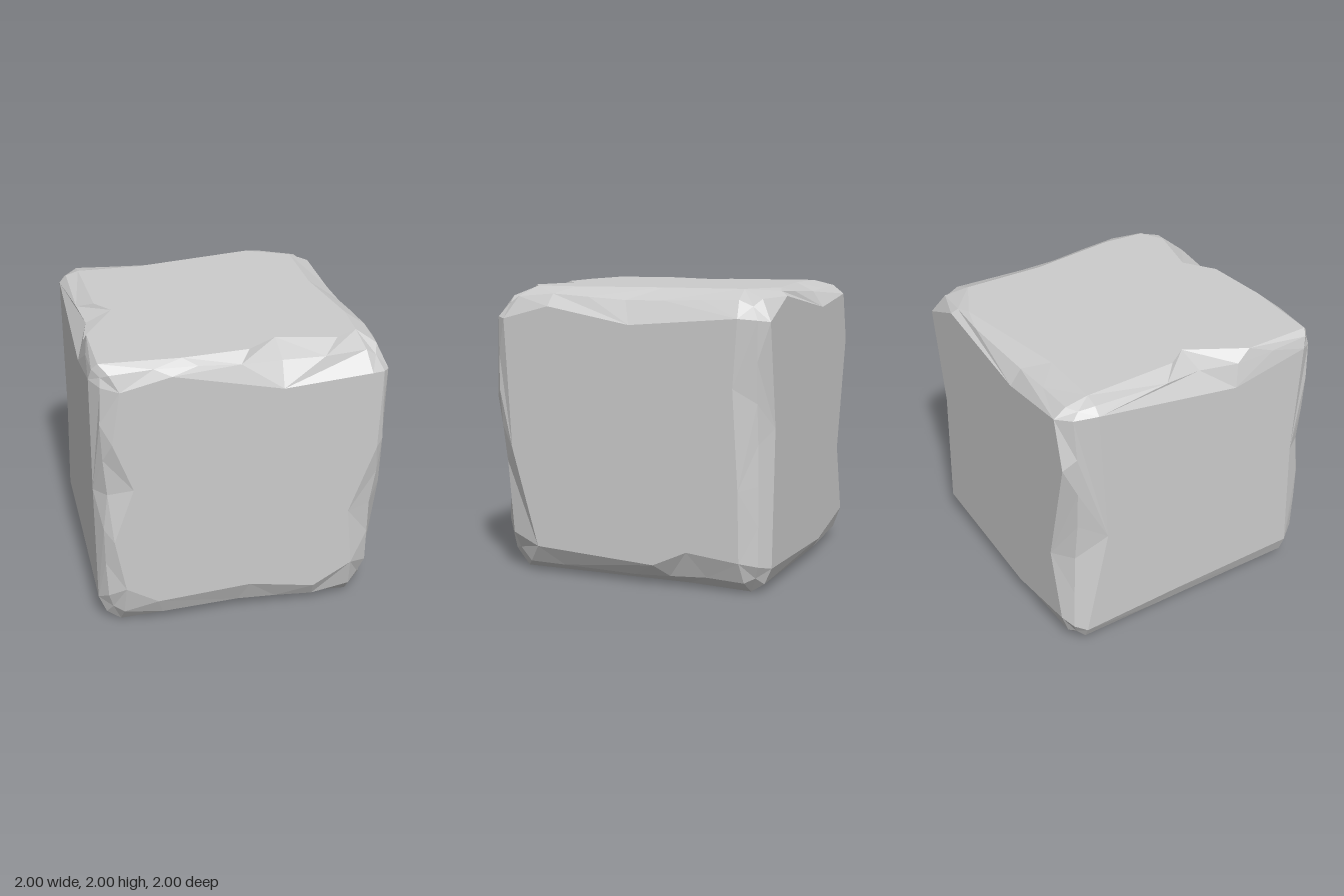
import * as THREE from 'three';

// Outlines of the six flat faces, in pairs along x, y and z (low side first).
// Four sides each: v-low, u-high, v-high, u-low; every side starts at its corner.
const FACES = {
  rightFace: [
    [[-.87, .15], [-.12, .18]],
    [[.85, .2], [.82, 1.05]],
    [[.86, 1.88], [.3, 1.76]],
    [[-.76, 1.92], [-.7, .93]]],
  leftFace: [
    [[-.82, .22], [-.45, .26], [-.21, .15]],
    [[.66, .2], [.85, .88]],
    [[.9, 1.78], [.56, 1.87], [-.04, 1.76]],
    [[-.8, 1.82], [-.77, 1.37], [-.81, .7]]],
  bottomFace: [
    [[-.85, -.85]],
    [[.85, -.86], [.8, -.4]],
    [[.8, .84], [.05, .78]],
    [[-.85, .86]]],
  topFace: [
    [[-.86, -.76], [-.41, -.76], [.46, -.92]],
    [[.77, -.77], [.76, -.2], [.84, .42]],
    [[.82, .72], [.66, .82], [.26, .73], [.05, .88], [-.4, .92]],
    [[-.94, .9], [-.95, .43], [-.73, .04], [-.83, -.1]]],
  backFace: [
    [[-.87, .23], [-.26, .12]],
    [[.85, .17], [.8, 1.1]],
    [[.92, 1.8], [.58, 1.95], [-.28, 1.83]],
    [[-.85, 1.9], [-.94, 1.55], [-.74, .73]]],
  frontFace: [
    [[-.82, .33], [-.6, .2], [.05, .25], [.51, .17]],
    [[.78, .33], [.74, .76], [.92, 1.24]],
    [[.86, 1.8], [.26, 1.75], [-.48, 1.91]],
    [[-.82, 1.83], [-.88, 1.46], [-.75, 1.11], [-.89, .72]]],
};
const CENTRE = new THREE.Vector3(0, 1, 0);
const RIDGE = 0.3; // how far the chamfers bulge towards the sharp edge
const low = (axis) => (axis === 1 ? 0 : -1);

// Add a triangle, turned so that it faces away from the centre
function addTri(out, a, b, c) {
  const n = b.clone().sub(a).cross(c.clone().sub(a));
  const mid = a.clone().add(b).add(c).divideScalar(3).sub(CENTRE);
  const order = n.dot(mid) < 0 ? [a, c, b] : [a, b, c];
  for (const p of order) out.push(p.x, p.y, p.z);
}

// Fill between two rows that both run upwards along the same axis
function addStrip(out, A, B, axis) {
  let i = 0, j = 0;
  while (i < A.length - 1 || j < B.length - 1) {
    const stepA = j === B.length - 1 || (i < A.length - 1 &&
      A[i + 1].getComponent(axis) <= B[j + 1].getComponent(axis));
    if (stepA) { addTri(out, A[i], A[i + 1], B[j]); i++; }
    else { addTri(out, A[i], B[j + 1], B[j]); j++; }
  }
}

// Point on a row at a position along the axis
function sample(row, axis, t) {
  for (let i = 0; i < row.length - 1; i++) {
    const a = row[i].getComponent(axis), b = row[i + 1].getComponent(axis);
    if (t <= b) return row[i].clone().lerp(row[i + 1], THREE.MathUtils.clamp((t - a) / (b - a), 0, 1));
  }
  return row[row.length - 1].clone();
}

export function createModel() {
  const group = new THREE.Group();
  group.name = 'wornStoneBlock';
  const material = new THREE.MeshStandardMaterial({ color: 0xcccccc, flatShading: true });
  const addMesh = (name, positions) => {
    const g = new THREE.BufferGeometry();
    g.setAttribute('position', new THREE.Float32BufferAttribute(positions, 3));
    g.computeVertexNormals();
    const mesh = new THREE.Mesh(g, material);
    mesh.name = name;
    group.add(mesh);
  };
  const edges = {};   // sides grouped by the cube edge they run along
  const corners = {}; // chamfer ends grouped by cube corner

  // Flat faces
  Object.entries(FACES).forEach(([name, sides], i) => {
    const axis = i >> 1, at = low(axis) + 2 * (i % 2);
    const uAxis = axis === 0 ? 2 : 0, vAxis = axis === 1 ? 2 : 1;
    const to3D = ([u, v]) => new THREE.Vector3()
      .setComponent(axis, at).setComponent(uAxis, u).setComponent(vAxis, v);
    const loop = sides.flat().map((p) => new THREE.Vector2(...p));
    const pts = sides.flat().map(to3D);
    const out = [];
    for (const [a, b, c] of THREE.ShapeUtils.triangulateShape(loop, [])) addTri(out, pts[a], pts[b], pts[c]);
    addMesh(name, out);

    sides.forEach((side, k) => {
      const across = k % 2 ? uAxis : vAxis, along = k % 2 ? vAxis : uAxis;
      const row = [...side, sides[(k + 1) % 4][0]].map(to3D);
      if (k > 1) row.reverse();
      const sharp = new THREE.Vector3().setComponent(axis, at)
        .setComponent(across, low(across) + (k === 1 || k === 2 ? 2 : 0));
      const key = along + ':' + sharp.toArray().join();
      (edges[key] ??= { along, sharp, rows: [] }).rows.push(row);
    });
  });

  // Chipped chamfers along the twelve edges, each with a ridge down its middle
  const chamfers = [];
  for (const { along, sharp, rows: [A, B] } of Object.values(edges)) {
    const middle = (a, b) => (a.getComponent(along) + b.getComponent(along)) / 2;
    const start = middle(A[0], B[0]), end = middle(A.at(-1), B.at(-1));
    const ridge = [];
    for (let i = 0; i <= 6; i++) {
      const t = THREE.MathUtils.lerp(start, end, i / 6);
      const p = sample(A, along, t).lerp(sample(B, along, t), 0.5);
      ridge.push(p.lerp(sharp, RIDGE).setComponent(along, t));
    }
    addStrip(chamfers, A, ridge, along);
    addStrip(chamfers, ridge, B, along);
    for (const e of [0, 1]) {
      const key = sharp.clone().setComponent(along, low(along) + 2 * e).toArray().join();
      (corners[key] ??= []).push([A, ridge, B].map((row) => row.at(-e)));
    }
  }
  addMesh('chippedEdges', chamfers);

  // Blunt corners: a small fan joining three chamfers
  const caps = [];
  for (const ends of Object.values(corners)) {
    const apex = new THREE.Vector3();
    for (const [, r] of ends) apex.addScaledVector(r, 1 / 3);
    for (const [a, r, b] of ends) {
      addTri(caps, a, r, apex);
      addTri(caps, r, b, apex);
    }
  }
  addMesh('bluntCorners', caps);
  return group;
}
